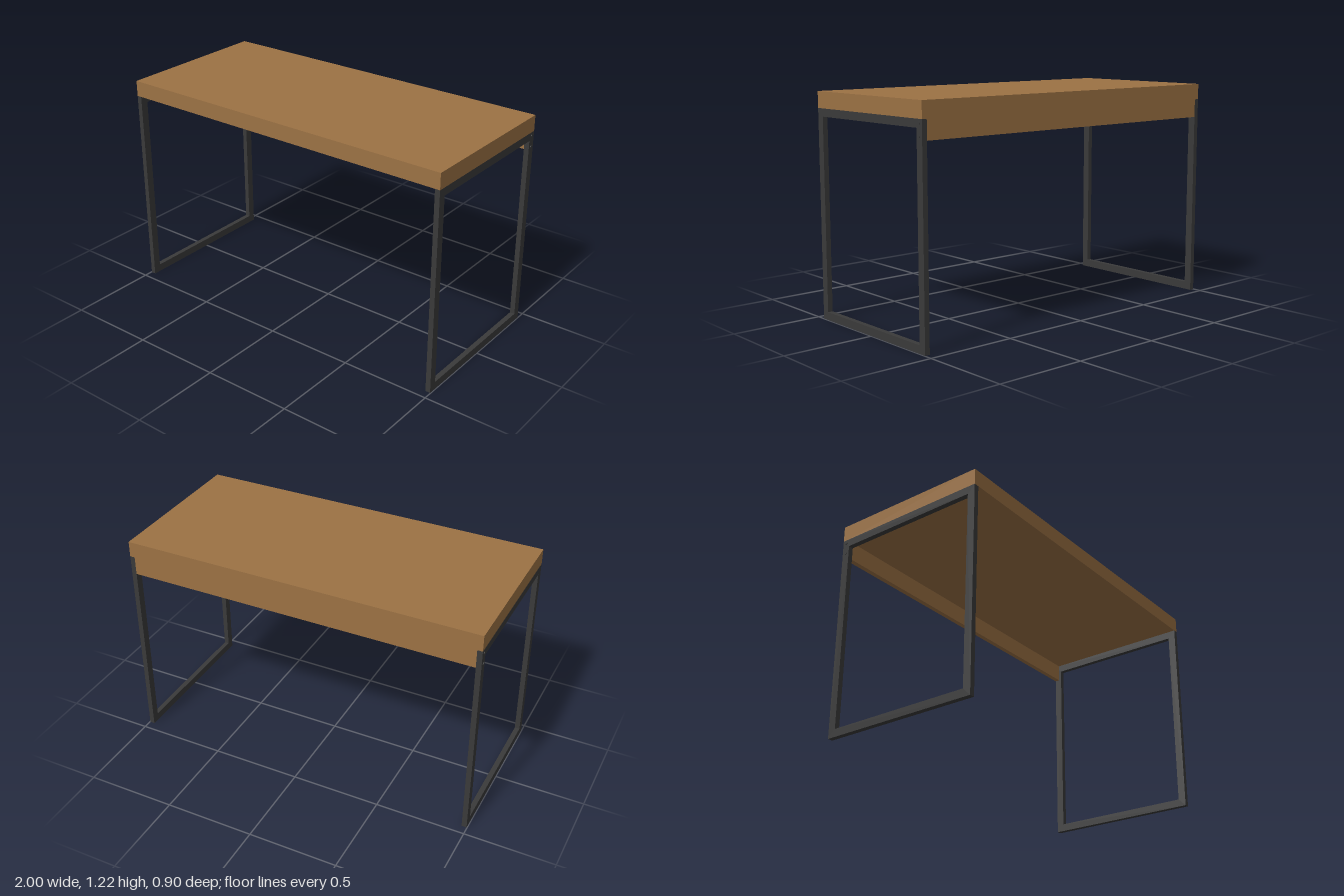
import * as THREE from 'three';

export function createModel() {
  const desk = new THREE.Group();
  desk.name = 'desk';
  const wood = new THREE.MeshStandardMaterial({ color: 0x9c7244 });
  const steel = new THREE.MeshStandardMaterial({ color: 0x3a3a3a });

  const add = (name, geometry, material, x, y, z) => {
    const mesh = new THREE.Mesh(geometry, material);
    mesh.name = name;
    mesh.position.set(x, y, z);
    desk.add(mesh);
    return mesh;
  };

  const halfX = 0.997, halfZ = 0.45, legTop = 1.132, topY = 1.22;
  const barX = 0.028, barZ = 0.043;

  // Thick wooden top and the panel between the back legs
  add('tabletop', new THREE.BoxGeometry(2 * halfX, topY - legTop, 2 * halfZ), wood, 0, (topY + legTop) / 2, 0);
  add('backPanel', new THREE.BoxGeometry(2 * (halfX - barX), 0.102, 0.028), wood, 0, legTop - 0.051, -halfZ + 0.014);

  // Closed rectangular leg frame, extruded along x
  const frame = new THREE.Shape();
  frame.moveTo(-halfZ, 0).lineTo(halfZ, 0).lineTo(halfZ, legTop).lineTo(-halfZ, legTop).closePath();
  const inZ = halfZ - barZ, inTop = legTop - barZ;
  const opening = new THREE.Path();
  opening.moveTo(-inZ, barZ).lineTo(-inZ, inTop).lineTo(inZ, inTop).lineTo(inZ, barZ).closePath();
  frame.holes.push(opening);
  const frameGeometry = new THREE.ExtrudeGeometry(frame, { depth: barX, bevelEnabled: false });
  frameGeometry.translate(0, 0, -barX / 2).rotateY(Math.PI / 2);

  // Screw heads that hold the back panel to the legs
  const screwGeometry = new THREE.CylinderGeometry(0.007, 0.007, 0.006, 16).rotateZ(Math.PI / 2);

  for (const [side, s] of [['left', 1], ['right', -1]]) {
    add(side + 'LegFrame', frameGeometry, steel, s * (halfX - barX / 2), 0, 0);
    for (const y of [1.05, 1.112])
      add(side + 'Screw', screwGeometry, steel, s * (halfX + 0.0), y, -halfZ + barZ / 2);
  }
  return desk;
}
